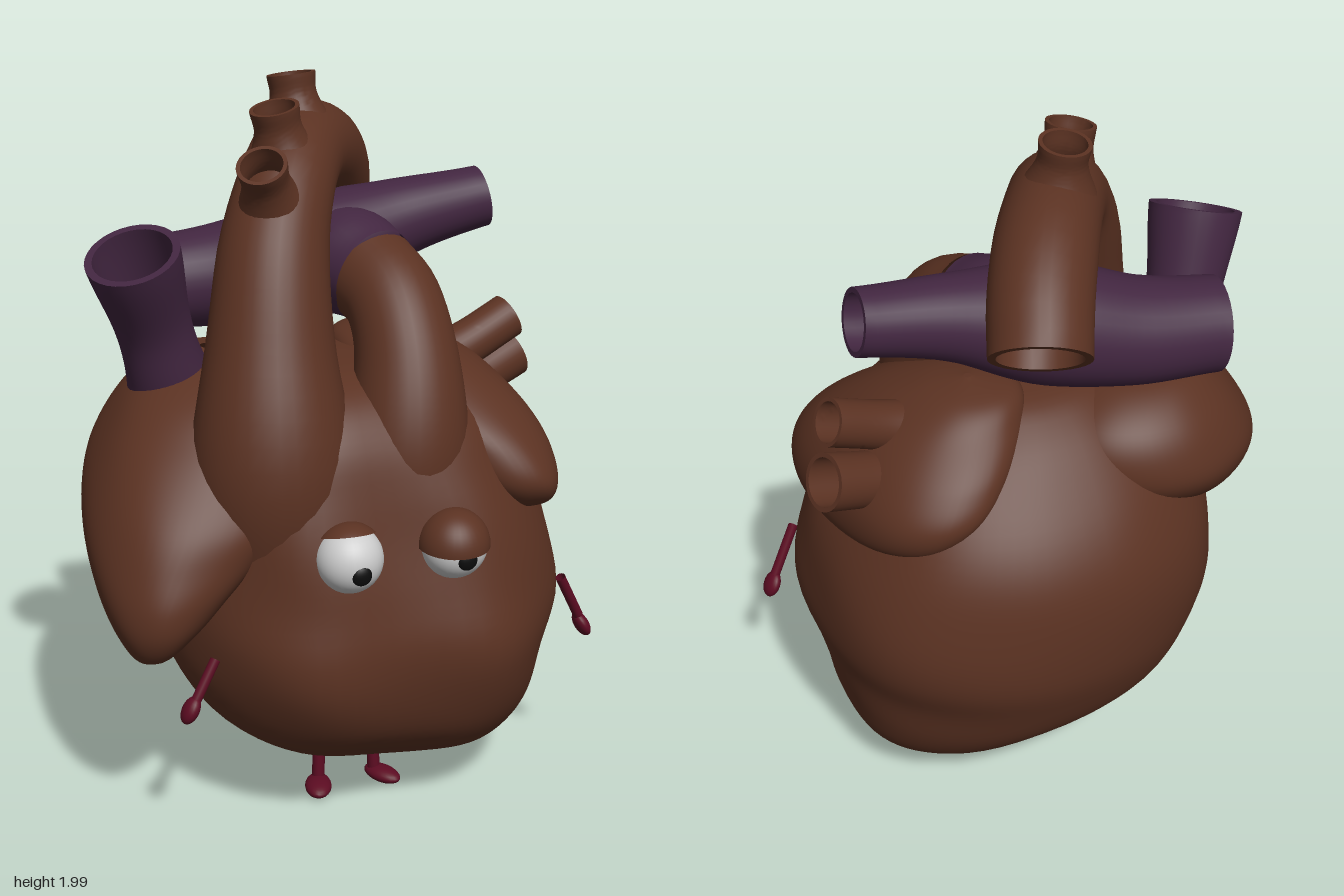
import * as THREE from 'three';
import { toCreasedNormals } from 'three/addons/utils/BufferGeometryUtils.js';

const material = (color) => new THREE.MeshStandardMaterial({ color, side: THREE.DoubleSide });
const BROWN = material(0x5b3222), PURPLE = material(0x422640), RED = material(0x5c0c22);
const WHITE = material(0xe8e8e8), BLACK = material(0x0c0c0c);

function add(parent, name, geometry, mat) {
  const mesh = new THREE.Mesh(geometry, mat);
  mesh.name = name;
  parent.add(mesh);
  return mesh;
}

// Joins closed rings of points into one surface
function skin(rings) {
  const n = rings[0].length, index = [];
  for (let i = 0; i < rings.length - 1; i++) {
    for (let j = 0; j < n; j++) {
      const k = (j + 1) % n, a = i * n + j, b = i * n + k;
      index.push(a, b, b + n, a, b + n, a + n);
    }
  }
  const geo = new THREE.BufferGeometry().setFromPoints(rings.flat());
  geo.setIndex(index);
  geo.computeVertexNormals();
  return geo;
}

// Smoothly samples rows of numbers, t from 0 to 1
function sampleRow(rows, t) {
  const f = t * (rows.length - 1), i = Math.min(Math.floor(f), rows.length - 2), u = f - i;
  const at = (k) => rows[Math.max(0, Math.min(rows.length - 1, k))];
  return rows[0].map((_, c) => {
    const [p, a, b, q] = [at(i - 1)[c], at(i)[c], at(i + 1)[c], at(i + 2)[c]];
    return a + 0.5 * u * (b - p + u * (2 * p - 5 * a + 4 * b - q + u * (3 * (a - b) + q - p)));
  });
}

// Tapering vessel through [x, y, z, radius] points, hollow at its open ends
function vessel(parent, name, pts, mat, openEnd = true, openStart = false) {
  const N = 32, SIDES = 32, wall = 0.84;
  const curve = new THREE.CatmullRomCurve3(pts.map((p) => new THREE.Vector3(p[0], p[1], p[2])));
  const frames = curve.computeFrenetFrames(N);
  const steps = [];
  if (openStart) for (let i = 12; i >= 0; i--) steps.push([i, wall]);
  for (let i = 0; i <= N; i++) steps.push([i, 1]);
  if (openEnd) for (let i = N; i >= N - 12; i--) steps.push([i, wall]);
  const rings = steps.map(([i, scale]) => {
    const t = curve.getUtoTmapping(i / N), centre = curve.getPoint(t);
    const r = sampleRow(pts, t)[3] * scale;
    return Array.from({ length: SIDES }, (_, j) => {
      const a = (j / SIDES) * Math.PI * 2;
      return centre.clone()
        .addScaledVector(frames.normals[i], r * Math.cos(a))
        .addScaledVector(frames.binormals[i], r * Math.sin(a));
    });
  });
  return add(parent, name, toCreasedNormals(skin(rings), 0.9), mat);
}

// Lumpy chamber through [y, right, left, front, back] rows.
// shear slides x along z, groove ripples the front
function chamber(parent, name, rows, roundness, shear, groove) {
  const rings = [];
  for (let i = 0; i <= 64; i++) {
    const [y, x0, x1, z1, z0] = sampleRow(rows, i / 64);
    rings.push(Array.from({ length: 72 }, (_, j) => {
      const a = (j / 72) * Math.PI * 2, c = Math.cos(a), s = -Math.sin(a);
      const round = (v) => Math.sign(v) * Math.abs(v) ** roundness;
      const bump = 1 + 0.012 * Math.sin(5 * a + 7 * y) * Math.sin(9 * y + 2 * c);
      const dz = ((z1 - z0) / 2) * round(s) * bump;
      const x = (x0 + x1) / 2 + ((x1 - x0) / 2) * round(c) * bump + shear * dz;
      const ripple = groove * Math.max(0, s) * Math.cos((x + 0.22) * 11) * Math.sin(Math.PI * (i / 64));
      return new THREE.Vector3(x, y, (z0 + z1) / 2 + dz + ripple);
    }));
  }
  add(parent, name, skin(rings), BROWN);
}

function eye(parent, name, x, lidAngle, lidTilt) {
  const g = new THREE.Group();
  g.name = name;
  g.position.set(x, 0.857, 0.47);
  add(g, 'eyeball', new THREE.SphereGeometry(0.09, 32, 24), WHITE);
  const pupil = add(g, 'pupil', new THREE.SphereGeometry(0.027, 20, 14), BLACK);
  pupil.position.set(0.005, -0.015, 0.083);
  pupil.scale.z = 0.5;
  const lid = add(g, 'eyelid', new THREE.SphereGeometry(0.097, 32, 16, 0, Math.PI * 2, 0, lidAngle), BROWN);
  lid.rotation.x = lidTilt;
  parent.add(g);
}

// Thin limb with an oval hand or foot
function limb(parent, name, from, to, r, tip, tipSize, turn) {
  const g = new THREE.Group();
  g.name = name;
  const a = new THREE.Vector3(...from), b = new THREE.Vector3(...to);
  add(g, 'limbRod', new THREE.TubeGeometry(new THREE.LineCurve3(a, b), 4, r, 14), RED);
  const end = add(g, 'limbTip', new THREE.SphereGeometry(1, 20, 14), RED);
  end.position.set(...tip);
  end.scale.set(...tipSize);
  end.rotation.set(...turn);
  parent.add(g);
}

export function createModel() {
  const heart = new THREE.Group();
  heart.name = 'heart';

  // Ventricles and atria
  chamber(heart, 'ventricles', [
    [0.07, 0.2, 0.22, 0.02, 0], [0.075, 0.1, 0.34, 0.1, -0.1], [0.1, 0, 0.45, 0.2, -0.21],
    [0.15, -0.14, 0.53, 0.3, -0.29], [0.22, -0.28, 0.57, 0.4, -0.37], [0.32, -0.39, 0.59, 0.49, -0.45],
    [0.45, -0.46, 0.615, 0.545, -0.505], [0.58, -0.49, 0.65, 0.56, -0.545], [0.72, -0.49, 0.64, 0.53, -0.555],
    [0.87, -0.48, 0.6, 0.49, -0.53], [1.0, -0.44, 0.53, 0.45, -0.47], [1.12, -0.38, 0.44, 0.4, -0.37],
    [1.21, -0.28, 0.32, 0.32, -0.27], [1.26, -0.18, 0.22, 0.2, -0.17], [1.275, 0.01, 0.03, 0.03, 0.01],
  ], 0.86, 0, 0.022);
  chamber(heart, 'rightAtrium', [
    [0.565, -0.6, -0.57, 0.3, 0.22], [0.6, -0.635, -0.5, 0.39, 0.11], [0.67, -0.67, -0.41, 0.44, -0.02],
    [0.75, -0.69, -0.31, 0.45, -0.14], [0.84, -0.695, -0.18, 0.43, -0.25], [0.93, -0.68, -0.06, 0.4, -0.36],
    [1.02, -0.645, 0, 0.34, -0.42], [1.11, -0.59, 0.02, 0.26, -0.41], [1.19, -0.52, -0.02, 0.16, -0.36],
    [1.25, -0.43, -0.13, 0.02, -0.27], [1.275, -0.31, -0.28, -0.1, -0.14],
  ], 0.92, -0.1, 0);
  chamber(heart, 'leftAtrium', [
    [0.84, 0.47, 0.49, 0.17, 0.14], [0.855, 0.41, 0.55, 0.28, 0], [0.89, 0.34, 0.59, 0.37, -0.17],
    [0.96, 0.26, 0.6, 0.415, -0.32], [1.05, 0.18, 0.58, 0.38, -0.38], [1.14, 0.11, 0.525, 0.3, -0.35],
    [1.23, 0.06, 0.43, 0.18, -0.27], [1.29, 0.08, 0.32, 0.05, -0.2], [1.315, 0.19, 0.21, -0.07, -0.09],
  ], 0.9, 0.06, 0);

  // Aorta and its three branches
  vessel(heart, 'aorta', [
    [-0.2, 0.78, 0.18, 0.22], [-0.215, 1.05, 0.225, 0.22], [-0.2, 1.35, 0.17, 0.17],
    [-0.16, 1.59, 0.085, 0.145], [-0.1, 1.725, 0, 0.13], [-0.02, 1.785, -0.13, 0.125],
    [0.07, 1.765, -0.27, 0.13], [0.14, 1.69, -0.39, 0.13], [0.18, 1.605, -0.475, 0.127],
  ], BROWN);
  const branches = [
    [[-0.15, 1.65, 0.07], [-0.22, 1.825, 0.175]],
    [[-0.09, 1.75, -0.02], [-0.13, 1.935, 0]],
    [[-0.01, 1.81, -0.16], [-0.025, 1.99, -0.18]],
  ];
  for (const [a, b] of branches) {
    const mid = a.map((v, i) => v * 0.35 + b[i] * 0.65);
    vessel(heart, 'aorticBranch', [[...a, 0.115], [...mid, 0.066], [...b, 0.066]], BROWN);
  }

  // Pulmonary trunk and arteries
  vessel(heart, 'pulmonaryTrunk', [
    [0.13, 0.78, 0.2, 0.18], [0.15, 1.06, 0.25, 0.17], [0.17, 1.3, 0.19, 0.138],
    [0.165, 1.42, 0.1, 0.13], [0.14, 1.47, 0, 0.132],
  ], BROWN, false);
  vessel(heart, 'pulmonaryFork', [
    [0.145, 1.465, 0.02, 0.133], [0.11, 1.485, -0.08, 0.15], [0.05, 1.49, -0.18, 0.14],
  ], PURPLE, false);
  vessel(heart, 'pulmonaryArteries', [
    [-0.42, 1.42, -0.275, 0.128], [-0.2, 1.44, -0.24, 0.143], [0.04, 1.5, -0.185, 0.16],
    [0.29, 1.575, -0.17, 0.11], [0.53, 1.62, -0.16, 0.086],
  ], PURPLE, true, true);

  // Vena cava and pulmonary veins
  vessel(heart, 'venaCava', [
    [-0.37, 1.1, -0.12, 0.15], [-0.42, 1.24, -0.07, 0.11], [-0.46, 1.38, -0.04, 0.103], [-0.525, 1.585, 0.03, 0.127],
  ], PURPLE);
  vessel(heart, 'upperPulmonaryVein', [[0.28, 1.15, -0.05, 0.08], [0.45, 1.22, -0.06, 0.066], [0.59, 1.285, -0.08, 0.064]], BROWN);
  vessel(heart, 'lowerPulmonaryVein', [[0.35, 1.04, -0.08, 0.09], [0.5, 1.1, -0.12, 0.076], [0.635, 1.155, -0.15, 0.077]], BROWN);

  // Face
  eye(heart, 'rightEye', -0.09, Math.PI * 0.28, -0.3);
  eye(heart, 'leftEye', 0.2, Math.PI * 0.5, 0.05);

  // Arms and legs
  limb(heart, 'rightArm', [-0.42, 0.57, 0.36], [-0.48, 0.47, 0.38], 0.014, [-0.495, 0.445, 0.38], [0.022, 0.04, 0.03], [0, 0, -0.5]);
  limb(heart, 'leftArm', [0.59, 0.64, 0.325], [0.665, 0.5, 0.3], 0.014, [0.678, 0.47, 0.297], [0.02, 0.04, 0.034], [0, 0, 0.5]);
  limb(heart, 'rightLeg', [-0.06, 0.17, 0.15], [-0.065, 0.035, 0.155], 0.018, [-0.075, 0.027, 0.185], [0.038, 0.022, 0.062], [0, -0.3, 0]);
  limb(heart, 'leftLeg', [0.1, 0.15, 0.15], [0.105, 0.035, 0.155], 0.018, [0.122, 0.027, 0.18], [0.034, 0.022, 0.062], [0, 0.5, 0]);
  return heart;
}
